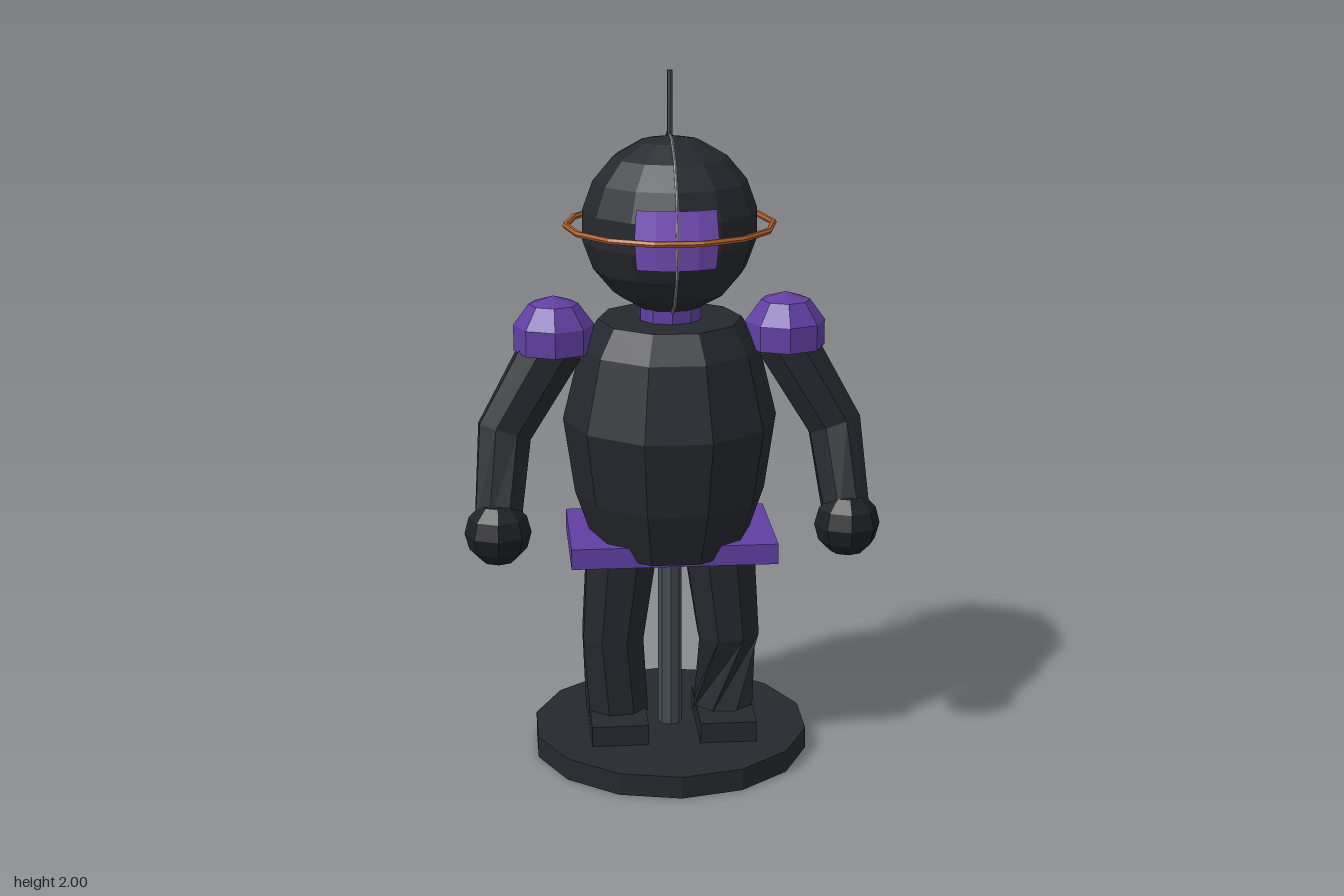
import * as THREE from 'three';

const mat = (color) => new THREE.MeshStandardMaterial({ color, flatShading: true, side: THREE.DoubleSide });
const dark = mat(0x25282e), black = mat(0x1d1f22), purple = mat(0x603fa2);
const visorMat = mat(0x7850bd), copper = mat(0xb0602a), steel = mat(0x888888), rodMat = mat(0x444c52);

// Faceted limb: rings [x, y, z, radius, twist] joined in loops and capped
function limb(rings, sides = 8, mirror = 1) {
  const pts = rings.map(([x, y, z]) => new THREE.Vector3(x * mirror, y, z));
  const loops = rings.map(([, , , r, twist = 0], i) => {
    const d = pts[Math.min(i + 1, pts.length - 1)].clone().sub(pts[Math.max(i - 1, 0)]).normalize();
    const u = new THREE.Vector3(0, 0, 1).cross(d).normalize();
    const v = d.clone().cross(u);
    return Array.from({ length: sides }, (_, j) => {
      const a = ((j + 0.5) / sides) * Math.PI * 2 + twist * mirror;
      return pts[i].clone().addScaledVector(u, r * Math.cos(a)).addScaledVector(v, r * Math.sin(a));
    });
  });
  const tris = [];
  const last = loops.length - 1;
  for (let j = 0; j < sides; j++) {
    const k = (j + 1) % sides;
    for (let i = 0; i < last; i++) {
      const [a, b, c, d] = [loops[i][j], loops[i][k], loops[i + 1][k], loops[i + 1][j]];
      tris.push(a, b, c, a, c, d);
    }
    tris.push(pts[0], loops[0][k], loops[0][j], pts[last], loops[last][j], loops[last][k]);
  }
  const g = new THREE.BufferGeometry().setFromPoints(tris);
  g.computeVertexNormals();
  return g;
}

export function createModel() {
  const model = new THREE.Group();
  model.name = 'figureOnStand';
  const add = (name, geometry, material, x = 0, y = 0, z = 0) => {
    const mesh = new THREE.Mesh(geometry, material);
    mesh.name = name;
    mesh.position.set(x, y, z);
    model.add(mesh);
    return mesh;
  };

  // Display stand
  add('standBase', new THREE.CylinderGeometry(0.405, 0.405, 0.065, 14), dark, 0, 0.0325);
  add('standRod', new THREE.CylinderGeometry(0.035, 0.035, 0.6, 8), rodMat, 0, 0.355);

  // Barrel torso, with belt plate and neck
  const profile = [[0, 0.63], [0.22, 0.63], [0.275, 0.79], [0.307, 1.01], [0.255, 1.22], [0.205, 1.3], [0, 1.3]]
    .map(([r, y]) => new THREE.Vector2(r, y));
  add('torso', new THREE.LatheGeometry(profile, 10, Math.PI / 2), dark).scale.z = 1.02;
  add('beltPlate', new THREE.BoxGeometry(0.59, 0.06, 0.37), purple, 0, 0.645);
  add('neck', new THREE.CylinderGeometry(0.09, 0.09, 0.12, 10), purple, 0, 1.32);

  // Head with visor, antenna and two hoops
  const headY = 1.57;
  add('head', new THREE.SphereGeometry(0.25, 12, 9), dark, 0, headY);
  add('visor', new THREE.SphereGeometry(0.256, 4, 2, Math.PI / 2 - 0.47, 0.94, 1.25, 0.66), visorMat, 0, headY);
  add('antenna', new THREE.CylinderGeometry(0.008, 0.008, 0.2, 6), rodMat, 0, 1.9);
  add('orbitHoop', new THREE.TorusGeometry(0.293, 0.009, 6, 14), copper, 0, headY).rotation.x = Math.PI / 2;
  add('headHoop', new THREE.TorusGeometry(0.256, 0.005, 6, 14), steel, 0, headY).rotation.y = Math.PI / 2;

  // Paired limbs
  for (const [side, s] of [['left', 1], ['right', -1]]) {
    add(side + 'ShoulderPad', new THREE.SphereGeometry(0.12, 8, 3, 0, Math.PI * 2, 0, Math.PI * 0.6), purple, 0.33 * s, 1.25);
    add(side + 'Arm', limb([
      [0.33, 1.23, 0, 0.09], [0.475, 0.98, 0.015, 0.082], [0.5, 0.73, 0.115, 0.07],
    ], 8, s), dark);
    add(side + 'Hand', new THREE.SphereGeometry(0.095, 8, 6), black, 0.5 * s, 0.713, 0.125);
    add(side + 'Leg', limb([
      [0.14, 0.64, 0.005, 0.11], [0.17, 0.35, 0.015, 0.095], [0.158, 0.11, 0.005, 0.094, 0.9],
    ], 8, s), dark);
    add(side + 'Foot', new THREE.BoxGeometry(0.165, 0.065, 0.28), dark, 0.158 * s, 0.0925, 0.035);
  }
  return model;
}
